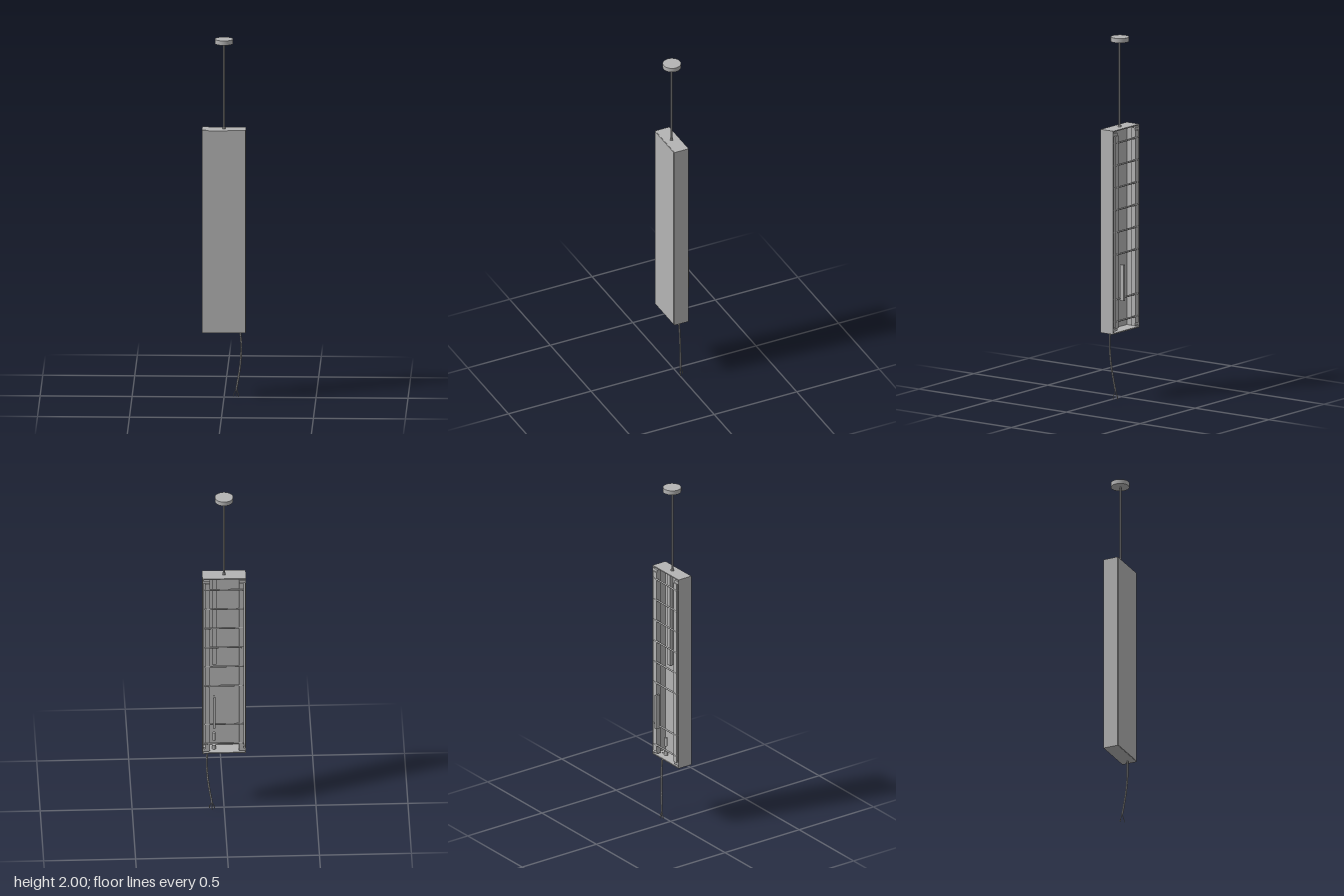
import * as THREE from 'three';

export function createModel() {
  const model = new THREE.Group();
  const grey = new THREE.MeshStandardMaterial({ color: 0xb4b4b4 });
  grey.name = 'plain grey';

  const add = (name, geometry, parent = model) => {
    const mesh = new THREE.Mesh(geometry, grey);
    mesh.name = name;
    parent.add(mesh);
    return mesh;
  };
  // Box given by its lower and upper limits on each axis
  const box = (name, x0, x1, y0, y1, z0, z1, parent) => {
    const mesh = add(name, new THREE.BoxGeometry(x1 - x0, y1 - y0, z1 - z0), parent);
    mesh.position.set((x0 + x1) / 2, (y0 + y1) / 2, (z0 + z1) / 2);
    return mesh;
  };
  const cylinder = (name, r, x, y0, y1, z, sides = 16, parent) => {
    const mesh = add(name, new THREE.CylinderGeometry(r, r, y1 - y0, sides), parent);
    mesh.position.set(x, (y0 + y1) / 2, z);
    return mesh;
  };
  const group = (name) => {
    const g = new THREE.Group();
    g.name = name;
    model.add(g);
    return g;
  };

  // Ceiling mount and hanging rod
  cylinder('ceilingCanopy', 0.05, 0, 1.975, 2, 0.01, 32);
  cylinder('hangingRod', 0.005, 0, 1.49, 1.976, 0.012, 12);
  cylinder('rodCollar', 0.009, 0, 1.498, 1.507, 0.012);

  // Housing: hollow rectangular frame, open at the back, with a front panel
  const outline = new THREE.Shape([
    [-0.119, 0.37], [0.119, 0.37], [0.119, 1.5], [-0.119, 1.5],
  ].map(([x, y]) => new THREE.Vector2(x, y)));
  outline.holes.push(new THREE.Path([
    [-0.113, 0.376], [-0.113, 1.494], [0.113, 1.494], [0.113, 0.376],
  ].map(([x, y]) => new THREE.Vector2(x, y))));
  const walls = new THREE.ExtrudeGeometry(outline, { depth: 0.085, bevelEnabled: false });
  add('housingWalls', walls).position.z = -0.033;
  box('frontPanel', -0.1135, 0.1135, 0.372, 1.498, 0.047, 0.055);

  // Ladder frame across the open back
  const ladder = group('backLadder');
  for (const s of [-1, 1]) {
    const rail = box('rail', 0.083, 0.105, 0.4, 1.47, -0.038, -0.032, ladder);
    rail.position.x *= s;
    const web = box('railWeb', 0.079, 0.083, 0.4, 1.47, -0.038, -0.008, ladder);
    web.position.x *= s;
    // Brackets tying each rail to the housing
    for (const y of [0.385, 1.47]) {
      const bracket = box('railBracket', 0.079, 0.114, y, y + 0.015, -0.032, -0.01, ladder);
      bracket.position.x *= s;
    }
  }
  for (let i = 0; i < 9; i++) {
    if (i === 6) continue; // gap for the control unit
    const rung = add('rung', new THREE.CylinderGeometry(0.005, 0.005, 0.214, 10), ladder);
    rung.rotation.z = Math.PI / 2;
    rung.position.set(0, 1.43 - i * 0.124, -0.035);
  }

  // Control bar standing out from the back
  box('controlBar', 0.05, 0.062, 0.55, 0.75, -0.062, -0.036);

  // Inner fittings
  box('innerChannel', 0.04, 0.065, 0.91, 1.49, 0.025, 0.047);
  cylinder('cableGland', 0.011, 0.055, 0.376, 0.4, 0.01);
  cylinder('cableSleeve', 0.008, 0.055, 0.43, 0.48, 0.01);

  // Power cable with three loose wire ends
  const tube = (name, points, r, parent) => add(name, new THREE.TubeGeometry(
    new THREE.CatmullRomCurve3(points.map((p) => new THREE.Vector3(...p))), 24, r, 8), parent);
  const cable = group('powerCable');
  tube('cableSheath', [[0.088, 0.38, 0.012], [0.094, 0.29, 0.009], [0.089, 0.19, 0.003],
    [0.078, 0.11, -0.004], [0.067, 0.045, -0.01]], 0.005, cable);
  for (const [x, z] of [[0.053, -0.012], [0.066, -0.022], [0.079, -0.004]]) {
    tube('wireEnd', [[0.067, 0.05, -0.01], [(x + 0.067) / 2, 0.03, (z - 0.01) / 2],
      [x, 0.014, z], [x, 0.0005, z]], 0.002, cable);
  }

  return model;
}
